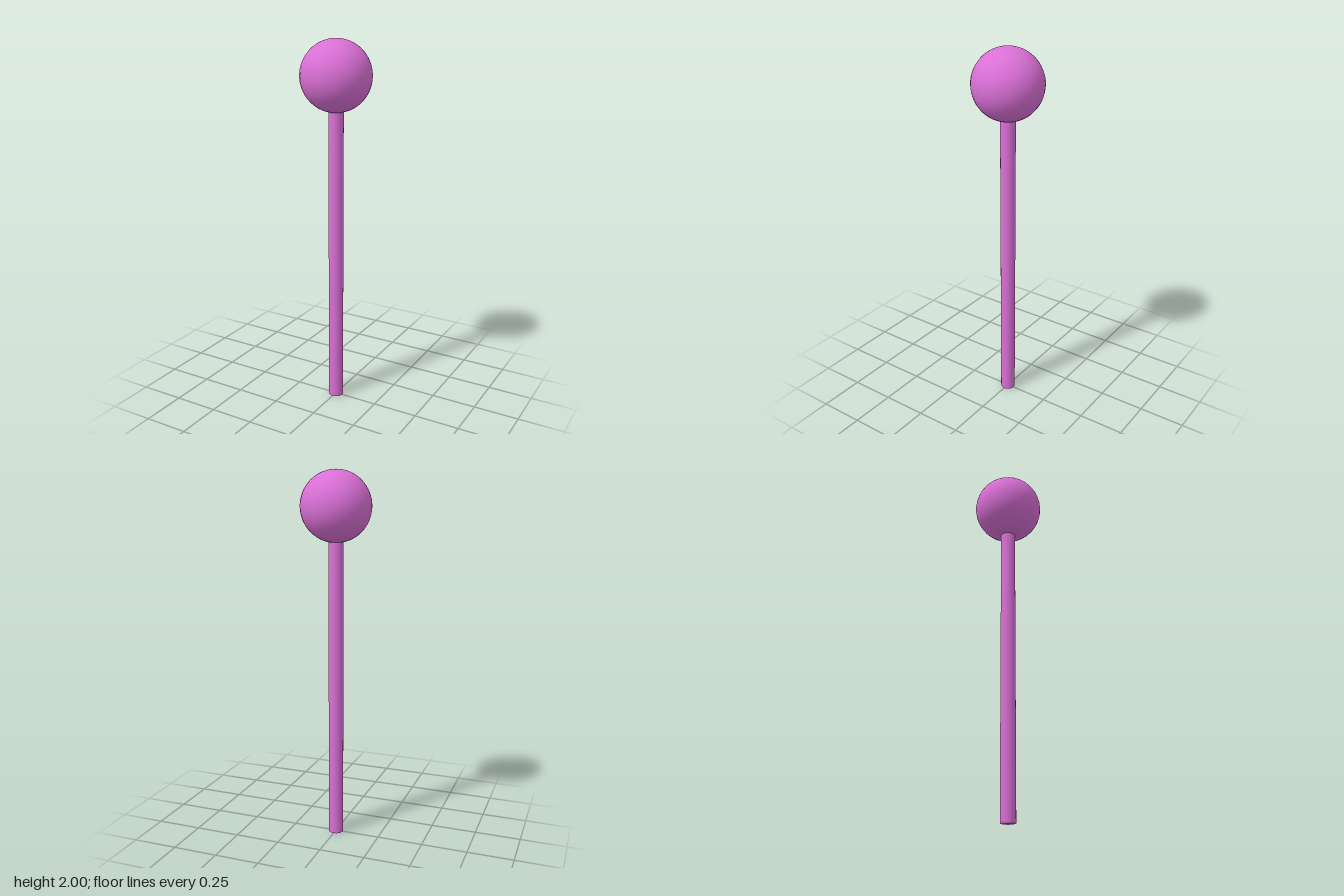
import * as THREE from 'three';

const HEAD_RADIUS = 0.187;
const STEM_RADIUS = 0.04;
const STEM_TOP = 1.64; // just inside the head

export function createModel() {
  const model = new THREE.Group();
  model.name = 'ballHeadedPin';
  const material = new THREE.MeshStandardMaterial({ color: 0xda70d6 });

  // Closed rod, with normals blended over its end rims
  const profile = [[0, 0], [STEM_RADIUS, 0], [STEM_RADIUS, STEM_TOP], [0, STEM_TOP]]
    .map(([r, y]) => new THREE.Vector2(r, y));
  const stem = new THREE.Mesh(new THREE.LatheGeometry(profile, 32), material);
  stem.name = 'stem';

  // Round head resting on the stem
  const head = new THREE.Mesh(new THREE.SphereGeometry(HEAD_RADIUS, 32, 32), material);
  head.name = 'head';
  head.position.y = 2 - HEAD_RADIUS;

  model.add(stem, head);
  return model;
}
